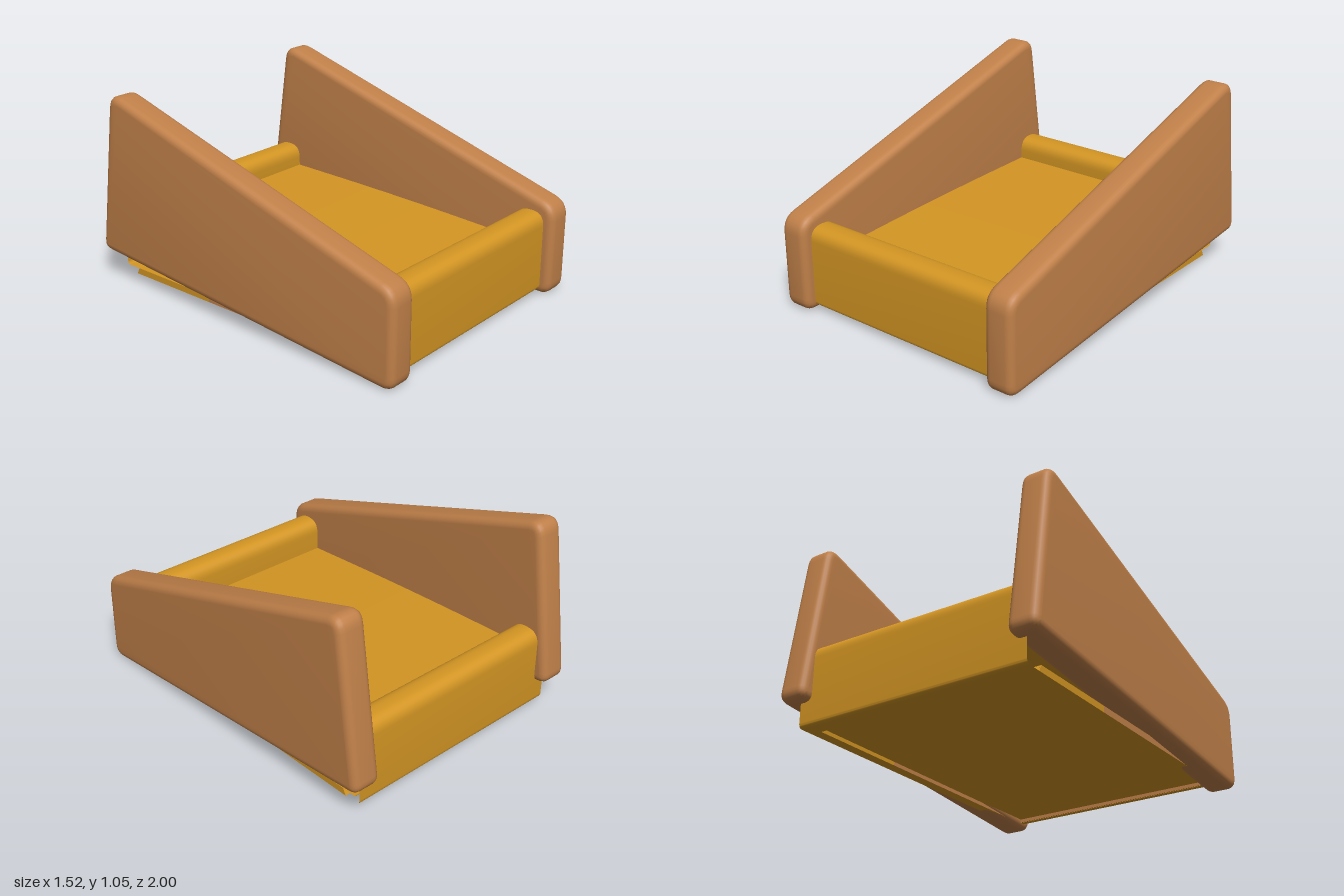
import * as THREE from 'three';
import { toCreasedNormals } from 'three/addons/utils/BufferGeometryUtils.js';

const wood = new THREE.MeshStandardMaterial({ color: 0xc08049 });
wood.name = 'brown wood';
const gold = new THREE.MeshStandardMaterial({ color: 0xd39523 });
gold.name = 'golden padding';

// Closed outline from [z, y, cornerRadius] points, each corner rounded
function roundedShape(points) {
  const shape = new THREE.Shape();
  const n = points.length;
  points.forEach(([z, y, r], i) => {
    const p = new THREE.Vector2(z, y);
    const toward = ([a, b]) =>
      new THREE.Vector2(a, b).sub(p).setLength(r).add(p);
    const start = toward(points[(i + n - 1) % n]);
    const end = toward(points[(i + 1) % n]);
    if (i === 0) shape.moveTo(start.x, start.y);
    else shape.lineTo(start.x, start.y);
    if (r > 0) shape.quadraticCurveTo(p.x, p.y, end.x, end.y);
  });
  shape.closePath();
  return shape;
}

// Turn a (z, y) extrusion so that it runs along x, centred on x = 0
function alongX(geometry, depth) {
  return geometry.translate(0, 0, -depth / 2).rotateY(-Math.PI / 2);
}

// Tapered side panel with soft edges
function sidePanelGeometry() {
  const bevel = 0.04;
  const depth = 0.163 - 2 * bevel;
  const shape = roundedShape([
    [1, -0.006, 0.075],
    [1, 0.503, 0.08],
    [-0.882, 1.074, 0.085],
    [-1.01, 0.166, 0.06],
  ]);
  const geometry = new THREE.ExtrudeGeometry(shape, {
    depth, curveSegments: 6, bevelEnabled: true, bevelSegments: 5,
    bevelSize: bevel, bevelThickness: bevel, bevelOffset: -bevel,
  });
  return toCreasedNormals(alongX(geometry, depth), 0.6);
}

// Tube with open ends along x; mirror = -1 turns its faces inward
function openTubeGeometry(points, width, mirror) {
  const solid = new THREE.ExtrudeGeometry(roundedShape(points), {
    depth: width, curveSegments: 8, bevelEnabled: false,
  });
  const caps = solid.groups[0].count;
  const open = new THREE.BufferGeometry();
  open.setAttribute('position', new THREE.BufferAttribute(
    solid.attributes.position.array.slice(caps * 3), 3));
  return toCreasedNormals(alongX(open, width).scale(mirror, 1, 1), 0.6);
}

// Bed with raised rounded rails, a gently crowned floor and a recessed underside
const bedProfile = [
  [-0.935, 0.03, 0.025],
  [-0.84, 0.03, 0],
  [-0.83, 0.05, 0],
  [0.9, 0.05, 0],
  [0.9, 0.03, 0],
  [0.945, 0.03, 0.02],
  [0.945, 0.465, 0.075],
  [0.78, 0.465, 0.075],
  [0.78, 0.283, 0],
  [0, 0.325, 0.5],
  [-0.77, 0.342, 0],
  [-0.77, 0.465, 0.075],
  [-0.935, 0.465, 0.075],
];

// Hollow inside of the bed
const liningProfile = [
  [-0.915, 0.065, 0.02],
  [0.92, 0.065, 0.02],
  [0.92, 0.44, 0.06],
  [0.805, 0.44, 0.06],
  [0.805, 0.255, 0],
  [-0.795, 0.315, 0],
  [-0.795, 0.44, 0.06],
  [-0.915, 0.44, 0.06],
];

// Low rim under the side of the bed, between two z positions
function rimGeometry(zFront, zBack, slant, depth) {
  const shape = new THREE.Shape([
    new THREE.Vector2(zBack, 0.03),
    new THREE.Vector2(zFront, 0.03),
    new THREE.Vector2(zFront, 0.065),
    new THREE.Vector2(zBack + slant, 0.065),
  ]);
  return alongX(new THREE.ExtrudeGeometry(shape, { depth, bevelEnabled: false }), depth);
}

export function createModel() {
  const model = new THREE.Group();
  const add = (name, geometry, material, x = 0) => {
    const mesh = new THREE.Mesh(geometry, material);
    mesh.name = name;
    mesh.position.x = x;
    model.add(mesh);
  };

  const bedWidth = 1.33;
  const rimWidth = 0.06;
  add('bed', openTubeGeometry(bedProfile, bedWidth, 1), gold);
  add('bedLining', openTubeGeometry(liningProfile, bedWidth, -1), gold);

  // Thin brown lining on the inside of the front rim
  const lining = new THREE.BoxGeometry(bedWidth - 2 * rimWidth, 0.018, 0.004);
  add('frontRimLining', lining.translate(0, 0.041, 0.898), wood);

  // Side panels and the rims below the bed, whose long faces are brown toward the front
  const panel = sidePanelGeometry();
  const frontRim = rimGeometry(0.9, -0.28, 0, rimWidth);
  const backRim = rimGeometry(-0.28, -0.84, 0.018, rimWidth);
  for (const [side, s] of [['left', 1], ['right', -1]]) {
    const rimX = s * (bedWidth - rimWidth) / 2;
    add(side + 'Panel', panel, wood, s * 0.677);
    add(side + 'FrontRim', frontRim, [wood, gold], rimX);
    add(side + 'BackRim', backRim, gold, rimX);
  }
  return model;
}
